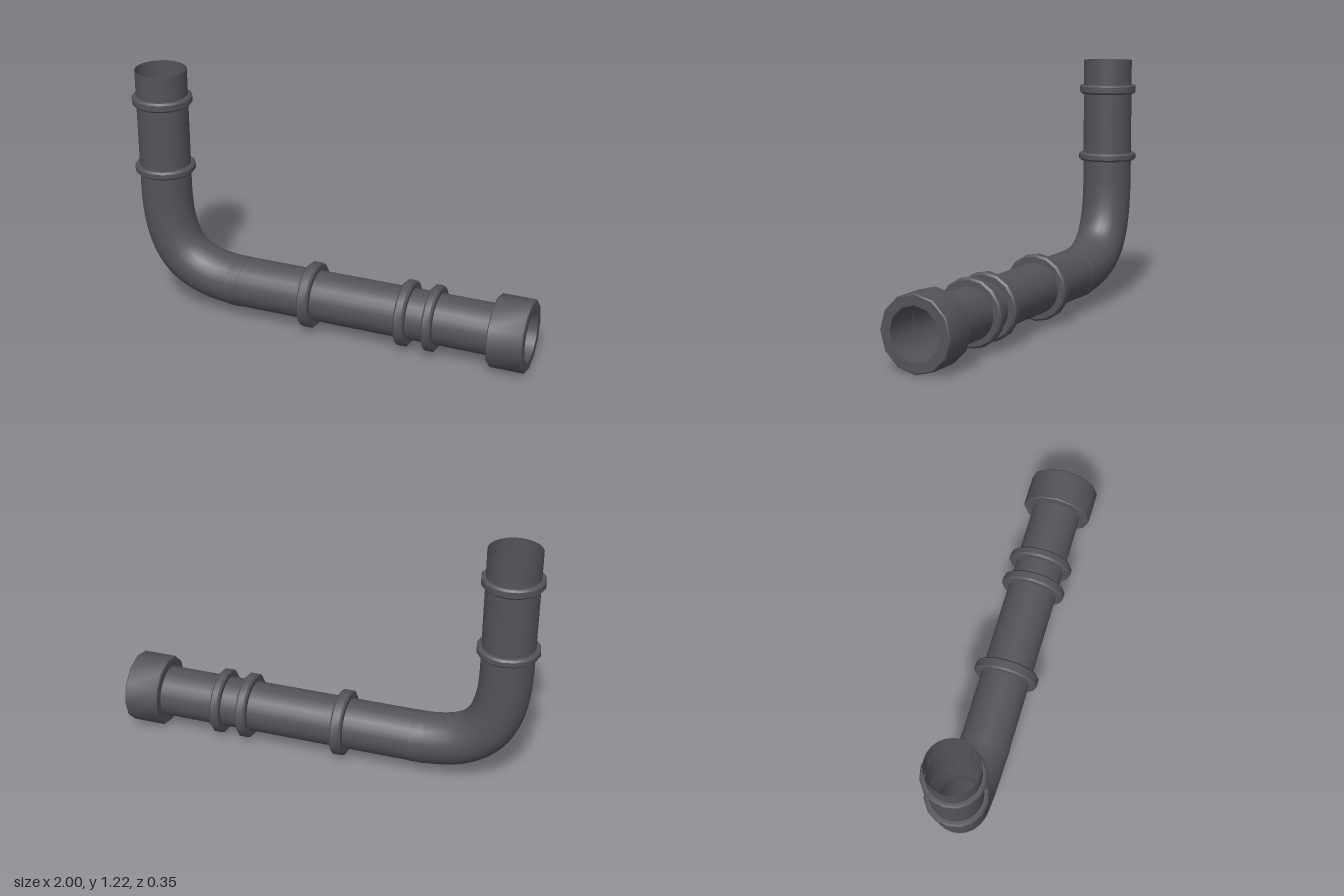
import * as THREE from 'three';
import { toCreasedNormals } from 'three/addons/utils/BufferGeometryUtils.js';

const AXIS_Y = 0.173;   // height of the horizontal run
const AXIS_X = -0.852;  // position of the upright run
const BORE = 0.123;     // pipe radius

export function createModel() {
  const group = new THREE.Group();
  const material = new THREE.MeshStandardMaterial({ color: 0x55535a, side: THREE.DoubleSide });

  const add = (name, geometry) => {
    const mesh = new THREE.Mesh(geometry, material);
    mesh.name = name;
    group.add(mesh);
    return mesh;
  };

  // Bevelled ring around the y axis
  const ringGeometry = (radius, width, bevel, sides) => {
    const h = width / 2;
    const profile = [
      [BORE, -h], [radius - bevel, -h], [radius, -h + bevel],
      [radius, h - bevel], [radius - bevel, h], [BORE, h],
    ].map(([x, y]) => new THREE.Vector2(x, y));
    return toCreasedNormals(new THREE.LatheGeometry(profile, sides), 0.6);
  };

  // Open pipe: upright run, swept elbow, horizontal run
  const v = (x, y) => new THREE.Vector3(x, y, 0);
  const elbowTop = v(AXIS_X, 0.64), elbowEnd = v(-0.43, AXIS_Y);
  const elbow = new THREE.CubicBezierCurve3(elbowTop, v(AXIS_X, 0.31), v(-0.76, AXIS_Y), elbowEnd);
  const path = new THREE.CurvePath();
  path.add(new THREE.LineCurve3(v(AXIS_X, 1.222), elbowTop));
  path.add(elbow);
  path.add(new THREE.LineCurve3(elbowEnd, v(1, AXIS_Y)));
  add('pipe', new THREE.TubeGeometry(path, 90, BORE, 24));

  // Collars on the horizontal run: x, radius, width
  const horizontalCollars = [[-0.08, 0.161, 0.056], [0.402, 0.16, 0.05], [0.537, 0.16, 0.046]];
  for (const [x, radius, width] of horizontalCollars) {
    const collar = add('horizontalCollar', ringGeometry(radius, width, 0.009, 16));
    collar.rotation.z = -Math.PI / 2;
    collar.position.set(x, AXIS_Y, 0);
  }

  // Collars on the upright run: y, radius, height
  for (const [y, radius, height] of [[0.728, 0.146, 0.04], [1.074, 0.144, 0.046]]) {
    const collar = add('uprightCollar', ringGeometry(radius, height, 0.009, 16));
    collar.position.set(AXIS_X, y, 0);
  }

  // Thin joint sleeve after the elbow
  const sleeve = add('jointSleeve', ringGeometry(BORE + 0.0015, 0.07, 0.0005, 24));
  sleeve.rotation.z = -Math.PI / 2;
  sleeve.position.set(-0.465, AXIS_Y, 0);

  // Faceted socket at the open end
  const socket = add('endSocket', ringGeometry(0.173, 0.17, 0.005, 12));
  socket.rotation.z = -Math.PI / 2;
  socket.position.set(0.915, AXIS_Y, 0);

  return group;
}
